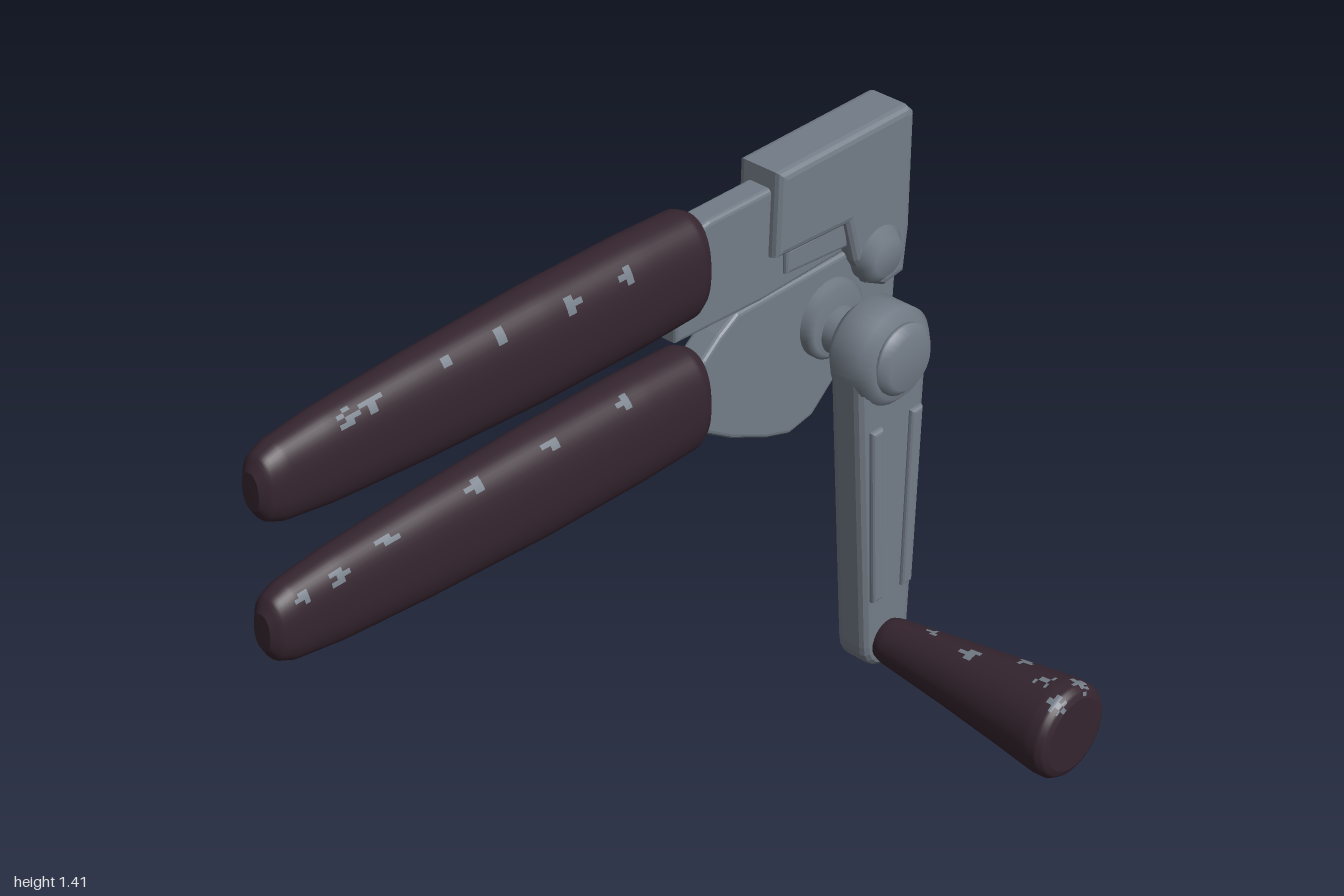
import * as THREE from 'three';

const metal = new THREE.MeshStandardMaterial({ color: 0x737c87 });
metal.name = 'worn steel';
const grip = new THREE.MeshStandardMaterial({ color: 0x35252f });
grip.name = 'dark plum grip';

const Z = -0.365; // middle plane of the jaws and handles

function add(group, name, geometry, material = metal) {
  const mesh = new THREE.Mesh(geometry, material);
  mesh.name = name;
  group.add(mesh);
  return mesh;
}

// Bevelled plate cut from an outline, between two depths
function plate(group, name, points, z0, z1, bevel = 0.02) {
  const shape = new THREE.Shape(points.map(p => new THREE.Vector2(...p)));
  const geo = new THREE.ExtrudeGeometry(shape, {
    depth: z1 - z0 - 2 * bevel, bevelEnabled: true, bevelThickness: bevel,
    bevelSize: bevel, bevelOffset: -bevel, bevelSegments: 3,
  });
  geo.translate(0, 0, z0 + bevel);
  return add(group, name, geo);
}

// Disc facing z with softened rims
function disc(group, name, x, y, z0, z1, r, soft = 0.015) {
  const h = (z1 - z0) / 2;
  const profile = [[0, -h], [r - soft, -h], [r, -h + soft], [r, h - soft], [r - soft, h], [0, h]]
    .map(p => new THREE.Vector2(...p));
  const geo = new THREE.LatheGeometry(profile, 32);
  geo.rotateX(Math.PI / 2);
  geo.translate(x, y, (z0 + z1) / 2);
  return add(group, name, geo);
}

// Grip along x: stations are [x, centre y, half height, half depth].
// Faces near a chip [x, angle, size] show the steel underneath.
function gripGeometry(stations, chips, power) {
  const N = 80, M = 48, pos = [], sides = [[], []];
  const at = x => {
    let i = 0;
    while (i < stations.length - 2 && x > stations[i + 1][0]) i++;
    const a = stations[i], b = stations[i + 1];
    const t = (x - a[0]) / (b[0] - a[0]);
    return a.map((v, k) => v + (b[k] - v) * t);
  };
  const x0 = stations[0][0], x1 = stations[stations.length - 1][0];
  const round = v => Math.sign(v) * Math.abs(v) ** power;
  for (let i = 0; i <= N; i++) {
    const u = i / N;
    const [x, cy, hy, hz] = at(x0 + (x1 - x0) * (0.5 - 0.5 * Math.cos(Math.PI * u)));
    for (let j = 0; j < M; j++) {
      const a = (j / M) * Math.PI * 2;
      pos.push(x, cy + hy * round(Math.sin(a)), hz * round(Math.cos(a)));
    }
  }
  for (let i = 0; i < N; i++) {
    for (let j = 0; j < M; j++) {
      const a = i * M + j, b = i * M + (j + 1) % M, c = a + M, d = b + M;
      const x = (pos[a * 3] + pos[c * 3]) / 2, ang = ((j + 0.5) / M) * Math.PI * 2;
      const chip = chips.some(([cx, ca, s]) =>
        Math.hypot((x - cx) / s, (ang - ca) * 0.13 / s) < 0.75 + 0.3 * Math.sin(i * 5 + j * 3));
      sides[chip ? 1 : 0].push(a, c, b, b, c, d);
    }
  }
  // end caps
  for (const [row, flip] of [[0, true], [N, false]]) {
    const s = at(row ? x1 : x0), centre = pos.length / 3;
    pos.push(s[0], s[1], 0);
    for (let j = 0; j < M; j++) {
      const a = row * M + j, b = row * M + (j + 1) % M;
      // rim runs from +z towards +y, which turns clockwise seen from +x
      sides[0].push(centre, ...(flip ? [a, b] : [b, a]));
    }
  }
  const geo = new THREE.BufferGeometry();
  geo.setAttribute('position', new THREE.Float32BufferAttribute(pos, 3));
  geo.setIndex([...sides[0], ...sides[1]]);
  geo.addGroup(0, sides[0].length, 0);
  geo.addGroup(sides[0].length, sides[1].length, 1);
  geo.computeVertexNormals();
  return geo;
}

export function createModel() {
  const model = new THREE.Group();
  model.name = 'canOpener';

  // Two long grips, rounded at the free end
  const gripStations = (tip, mid) => [
    [-0.99, tip, 0.045, 0.025], [-0.97, tip, 0.078, 0.045], [-0.93, tip, 0.095, 0.055],
    [-0.8, tip + (mid - tip) * 0.3, 0.112, 0.064], [-0.55, tip + (mid - tip) * 0.7, 0.127, 0.073],
    [-0.2, mid, 0.139, 0.083], [0.1, mid, 0.139, 0.085], [0.27, mid, 0.134, 0.082], [0.295, mid, 0.122, 0.072],
  ];
  const grips = [
    ['upperGrip', 1.275, 1.272, [[-0.75, 0.85, 0.035], [-0.69, 0.95, 0.03], [-0.48, 0.85, 0.02],
      [-0.33, 0.85, 0.02], [-0.13, 0.75, 0.03], [0.03, 0.75, 0.03]]],
    ['lowerGrip', 0.925, 0.922, [[-0.91, 0.75, 0.025], [-0.81, 0.7, 0.03], [-0.67, 0.95, 0.025],
      [-0.42, 0.95, 0.025], [-0.2, 0.95, 0.028], [0.03, 0.95, 0.025]]],
  ];
  for (const [name, tip, mid, chips] of grips) {
    add(model, name, gripGeometry(gripStations(tip, mid), chips, 0.85), [grip, metal]).position.z = Z;
  }

  // Upper jaw: neck, thick head and guide lip
  plate(model, 'upperNeck', [[0.22, 1.1], [0.5, 1.09], [0.78, 1.1], [0.78, 1.37], [0.33, 1.37], [0.22, 1.35]],
    Z - 0.037, Z + 0.037, 0.012);
  plate(model, 'upperHead', [[0.52, 1.2], [0.76, 1.19], [0.79, 1.08], [0.84, 1.0], [0.9, 0.97], [0.97, 0.98],
    [0.985, 1.1], [0.99, 1.4], [0.97, 1.42], [0.53, 1.415]], Z - 0.067, Z + 0.067, 0.02);
  plate(model, 'guideLip', [[0.57, 1.135], [0.78, 1.12], [0.78, 1.2], [0.57, 1.2]], Z - 0.05, Z + 0.05, 0.01);

  // Lower jaw plate
  plate(model, 'lowerJaw', [[0.22, 0.83], [0.31, 0.82], [0.4, 0.765], [0.52, 0.71], [0.6, 0.685], [0.68, 0.7],
    [0.75, 0.76], [0.84, 0.82], [0.93, 0.825], [0.965, 0.87], [0.975, 1.04], [0.88, 1.1], [0.42, 1.095],
    [0.36, 1.06], [0.31, 1.02], [0.22, 1.01]], Z - 0.038, Z + 0.038, 0.012);

  // Pivot rivet on both faces, cutter wheel and drive shaft
  disc(model, 'pivotRivet', 0.875, 1.07, Z - 0.1, Z + 0.095, 0.072, 0.025);
  disc(model, 'cutterWheel', 0.73, 0.95, Z - 0.06, Z + 0.07, 0.1);
  disc(model, 'driveShaft', 0.73, 0.93, -0.34, -0.2, 0.06, 0.01);

  // Crank with round hub, tapering arm and ribbed edges
  disc(model, 'crankHub', 0.73, 0.925, -0.24, -0.095, 0.125, 0.03);
  disc(model, 'hubCap', 0.725, 0.935, -0.12, -0.07, 0.09, 0.02);
  const arm = [];
  for (let i = 0; i <= 10; i++) {
    const a = (i / 10) * Math.PI;
    arm.push([0.73 + 0.122 * Math.cos(a), 0.925 + 0.115 * Math.sin(a)]);
  }
  for (let i = 0; i <= 10; i++) {
    const a = Math.PI + (i / 10) * Math.PI;
    arm.push([0.735 + 0.08 * Math.cos(a), 0.13 + 0.08 * Math.sin(a)]);
  }
  plate(model, 'crankArm', arm, -0.222, -0.118, 0.025);
  for (const side of [-1, 1]) {
    const edge = (y, w) => [0.733 + side * w, y];
    const rib = [edge(0.27, 0.035), edge(0.27, 0.07), edge(0.76, 0.09), edge(0.76, 0.05)];
    plate(model, 'crankRib', side > 0 ? rib : rib.reverse(), -0.14, -0.105, 0.01);
  }

  // Flared turning knob pointing forward
  const knobStations = [[-0.13, 0.13, 0.05, 0.05], [-0.1, 0.13, 0.06, 0.06], [0.1, 0.135, 0.085, 0.082],
    [0.3, 0.137, 0.11, 0.107], [0.41, 0.137, 0.123, 0.123], [0.44, 0.137, 0.122, 0.122],
    [0.455, 0.137, 0.112, 0.112], [0.462, 0.137, 0.095, 0.095]];
  const knobChips = [[0.01, 1.4, 0.025], [0.15, 1.75, 0.03], [0.28, 1.2, 0.025], [0.37, 1.65, 0.025],
    [0.435, 1.2, 0.025], [0.44, 2.0, 0.025]]
    .map(([x, a, s]) => [x, Math.PI - a, s]);
  const knob = add(model, 'turningKnob', gripGeometry(knobStations, knobChips, 1), [grip, metal]);
  knob.rotation.y = -Math.PI / 2;
  knob.position.x = 0.73;

  return model;
}
